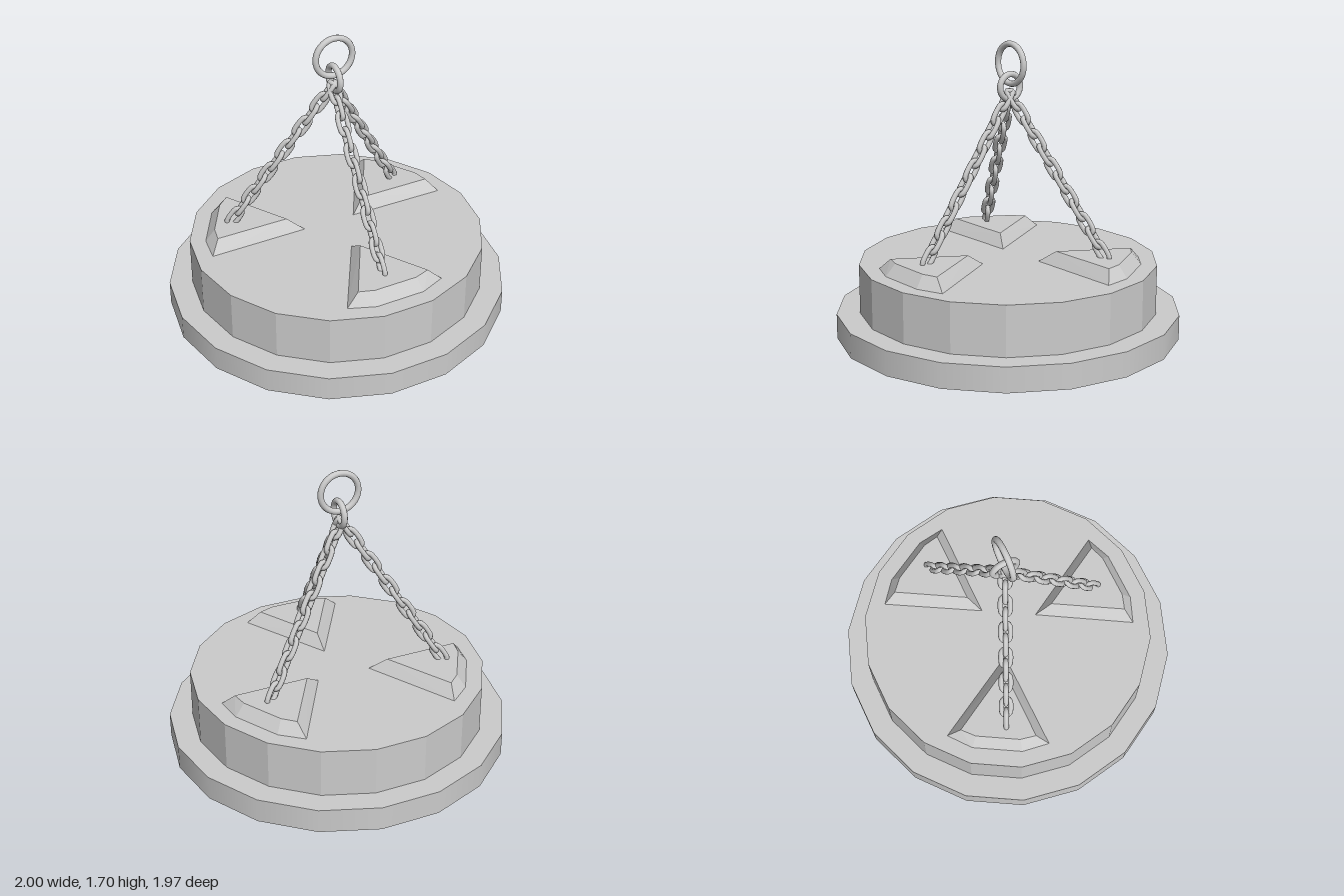
import * as THREE from 'three';
import { ConvexGeometry } from 'three/addons/geometries/ConvexGeometry.js';

const smooth = new THREE.MeshStandardMaterial({ color: 0xcccccc });
const faceted = new THREE.MeshStandardMaterial({ color: 0xcccccc, flatShading: true });

function part(name, geometry, material, parent) {
  const mesh = new THREE.Mesh(geometry, material);
  mesh.name = name;
  parent.add(mesh);
  return mesh;
}

// 18-sided disc with corners on the x axis
function disc(radius, y0, y1) {
  return new THREE.CylinderGeometry(radius, radius, y1 - y0, 18, 1, false, Math.PI / 2)
    .translate(0, (y0 + y1) / 2, 0);
}

// Wedge pad with sloping sides, pointing at the centre
function padGeometry() {
  const bottom = [[0, 0.18], [0.305, 0.70], [0.148, 0.762], [-0.148, 0.762], [-0.305, 0.70]];
  const top = [[0, 0.294], [0.22, 0.675], [0.13, 0.705], [-0.13, 0.705], [-0.22, 0.675]];
  return new ConvexGeometry([
    ...bottom.map(([x, z]) => new THREE.Vector3(x, 0.43, z)),
    ...top.map(([x, z]) => new THREE.Vector3(x, 0.505, z)),
  ]);
}

// Rounded-end chain link, long along y and wide along x
function linkGeometry() {
  const points = [];
  const radius = 0.025, half = 0.0375;
  for (const side of [1, -1]) {
    for (let i = 0; i <= 4; i++) {
      const a = (i / 4) * Math.PI;
      points.push(new THREE.Vector3(side * radius * Math.cos(a), side * (radius * Math.sin(a) + half), 0));
    }
  }
  const path = new THREE.CatmullRomCurve3(points, true, 'centripetal');
  return new THREE.TubeGeometry(path, 28, 0.015, 8, true);
}

export function createModel() {
  const model = new THREE.Group();
  model.name = 'liftingMagnet';

  // Stepped round body
  part('baseDisc', disc(1, 0, 0.145), smooth, model);
  part('upperDisc', disc(0.865, 0.145, 0.435), faceted, model);

  // Three pads
  const pad = padGeometry();
  for (let i = 0; i < 3; i++) {
    part('chainPad', pad, faceted, model).rotation.y = (i * Math.PI * 2) / 3;
  }

  // Three chains meeting at the hub, with alternate links turned
  const link = linkGeometry();
  const slope = 0.672;
  for (const degrees of [0, 115, -115]) {
    const chain = new THREE.Group();
    chain.name = 'chain';
    chain.position.set(-0.012, 0, -0.02);
    chain.rotation.y = THREE.MathUtils.degToRad(degrees);
    for (let k = 0; k < 12; k++) {
      const y = 0.54 + 0.075 * k;
      const mesh = part('chainLink', link, smooth, chain);
      mesh.position.set(0, y, (1.40 - y) * slope);
      mesh.rotation.set(-Math.atan(slope), k % 2 ? 0 : Math.PI / 2, 0);
    }
    model.add(chain);
  }

  // Small ring holding the chains, large ring above it
  const smallRing = part('smallRing', new THREE.TorusGeometry(0.072, 0.018, 10, 32), smooth, model);
  smallRing.position.set(-0.004, 1.44, -0.018);
  smallRing.rotation.y = Math.PI / 2;
  const topRing = part('topRing', new THREE.TorusGeometry(0.113, 0.018, 10, 40), smooth, model);
  topRing.position.set(-0.004, 1.57, -0.022);

  return model;
}
